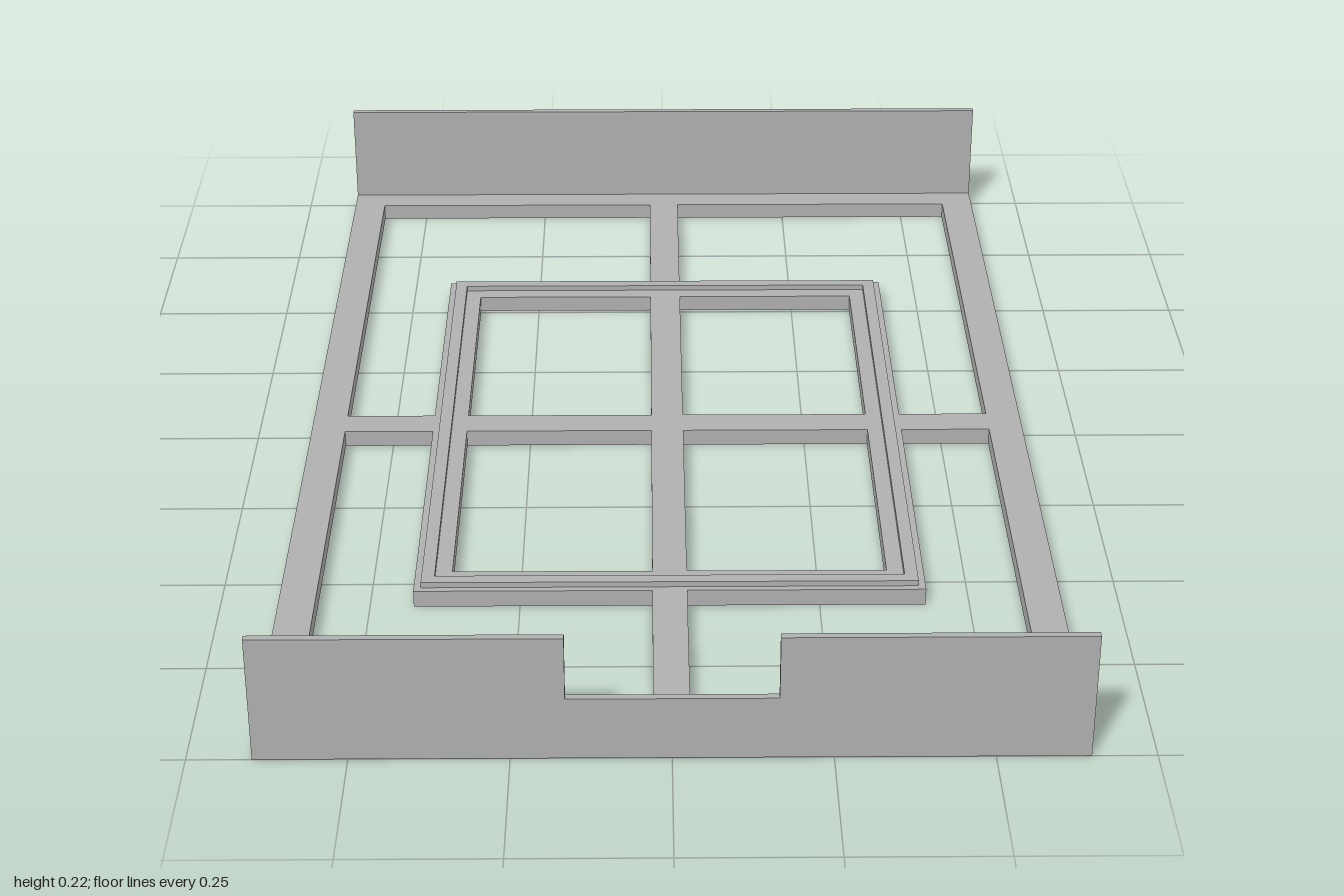
import * as THREE from 'three';

const W = 0.648, D = 1;          // half extents of the tray
const BASE = 0.03;               // thickness of the flat grid
const BAR = 0.029;               // half width of the cross bars
const OPEN_X = 0.587, OPEN_Z = 0.935;
const IN_X = 0.427, IN_Z = 0.569;

function rectangle(path, x0, y0, x1, y1) {
  path.moveTo(x0, y0);
  path.lineTo(x1, y0);
  path.lineTo(x1, y1);
  path.lineTo(x0, y1);
  path.closePath();
  return path;
}

// Flat plate with rectangular openings, lying on height y
function plate(halfX, halfZ, holes, y, height) {
  const shape = rectangle(new THREE.Shape(), -halfX, -halfZ, halfX, halfZ);
  for (const h of holes) shape.holes.push(rectangle(new THREE.Path(), ...h));
  const geometry = new THREE.ExtrudeGeometry(shape, { depth: height, bevelEnabled: false });
  geometry.rotateX(-Math.PI / 2);
  geometry.translate(0, y, 0);
  return geometry;
}

export function createModel() {
  const group = new THREE.Group();
  const grey = new THREE.MeshStandardMaterial({ color: 0xb0b0b0 });
  grey.name = 'grey';

  function add(name, geometry) {
    const mesh = new THREE.Mesh(geometry, grey);
    mesh.name = name;
    group.add(mesh);
    return mesh;
  }

  // Outer frame
  add('outerFrame', plate(W, D, [[-OPEN_X, -OPEN_Z, OPEN_X, OPEN_Z]], 0, BASE));

  // Inner frame with its cross, leaving four windows
  const wx = 0.365, wz = 0.508;
  const windows = [];
  for (const [x0, x1] of [[-wx, -BAR], [BAR, wx]])
    for (const [z0, z1] of [[-wz, -BAR], [BAR, wz]]) windows.push([x0, z0, x1, z1]);
  add('innerFrame', plate(IN_X, IN_Z, windows, 0, BASE));

  // Raised locating rim on the inner frame
  add('raisedRim', plate(0.415, 0.558, [[-0.393, -0.537, 0.393, 0.537]], BASE, 0.01));

  // Arms joining the inner and outer frames
  for (const s of [-1, 1]) {
    add(s > 0 ? 'leftArm' : 'rightArm', new THREE.BoxGeometry(OPEN_X - IN_X, BASE, 2 * BAR))
      .position.set(s * (OPEN_X + IN_X) / 2, BASE / 2, 0);
    add(s > 0 ? 'frontArm' : 'backArm', new THREE.BoxGeometry(2 * BAR, BASE, OPEN_Z - IN_Z))
      .position.set(0, BASE / 2, s * (OPEN_Z + IN_Z) / 2);
  }

  // End walls; the front one has a notch in its top edge
  const thick = 0.012, top = 0.22, notchX = 0.164, notchY = 0.11;
  const backWall = rectangle(new THREE.Shape(), -W, 0, W, top);
  const frontWall = new THREE.Shape([
    [-W, 0], [W, 0], [W, top], [notchX, top],
    [notchX, notchY], [-notchX, notchY], [-notchX, top], [-W, top],
  ].map(([x, y]) => new THREE.Vector2(x, y)));
  const options = { depth: thick, bevelEnabled: false };
  add('frontWall', new THREE.ExtrudeGeometry(frontWall, options)).position.z = D - thick;
  add('backWall', new THREE.ExtrudeGeometry(backWall, options)).position.z = -D;

  return group;
}
